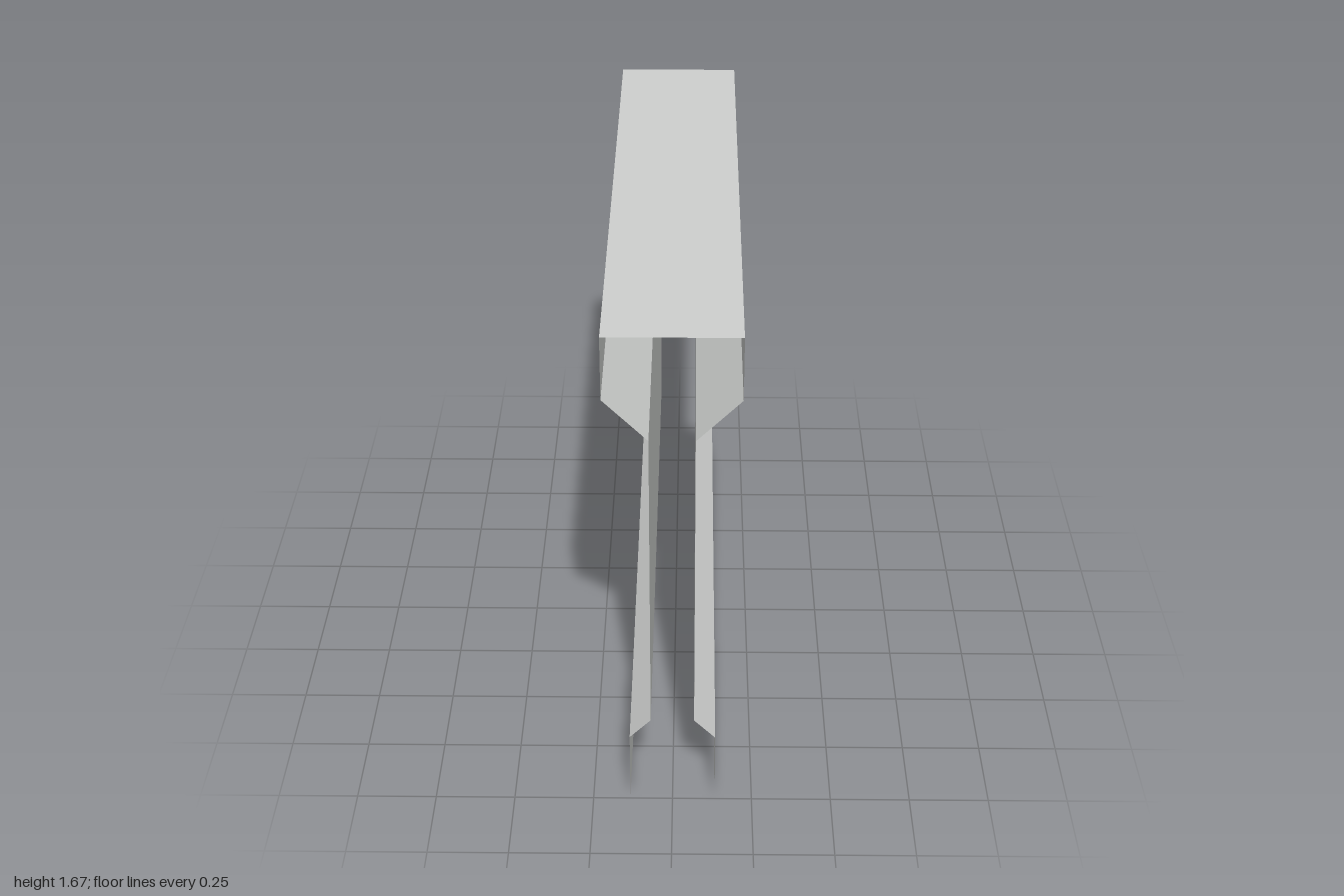
import * as THREE from 'three';

const HALF_LENGTH = 1;

// One flat sheet from profile point a to b, drawn out along z; it faces right of the direction a to b
function sheet(name, a, b, material) {
  const [x0, y0] = a, [x1, y1] = b, h = HALF_LENGTH;
  const geometry = new THREE.BufferGeometry();
  geometry.setAttribute('position', new THREE.Float32BufferAttribute([
    x0, y0, h, x0, y0, -h, x1, y1, -h, x1, y1, h,
  ], 3));
  geometry.setIndex([0, 1, 2, 0, 2, 3]);
  geometry.computeVertexNormals();
  const mesh = new THREE.Mesh(geometry, material);
  mesh.name = name;
  return mesh;
}

export function createModel() {
  const model = new THREE.Group();
  model.name = 'hollowWall';
  const lightGrey = new THREE.MeshStandardMaterial({ color: 0xcfd1cf, side: THREE.DoubleSide });
  lightGrey.name = 'lightGrey';

  // Profile of the left side, from the ground to the top edge
  const profile = [
    [0.133, 0], [0.133, 0.25], [0.067, 0.318], [0.067, 1.333], [0.2, 1.467], [0.2, 1.667],
  ];
  const parts = ['footSide', 'footSlope', 'wallPanel', 'capUnderside', 'capSide'];

  // Both sides, mirrored about x = 0
  for (const [label, s] of [['left', 1], ['right', -1]]) {
    const side = new THREE.Group();
    side.name = `${label}Side`;
    parts.forEach((part, i) => {
      const low = [s * profile[i][0], profile[i][1]];
      const high = [s * profile[i + 1][0], profile[i + 1][1]];
      side.add(s > 0 ? sheet(part, low, high, lightGrey) : sheet(part, high, low, lightGrey));
    });
    model.add(side);
  }

  // Flat top; the ends and the bottom stay open
  model.add(sheet('capTop', [0.2, 1.667], [-0.2, 1.667], lightGrey));
  return model;
}
